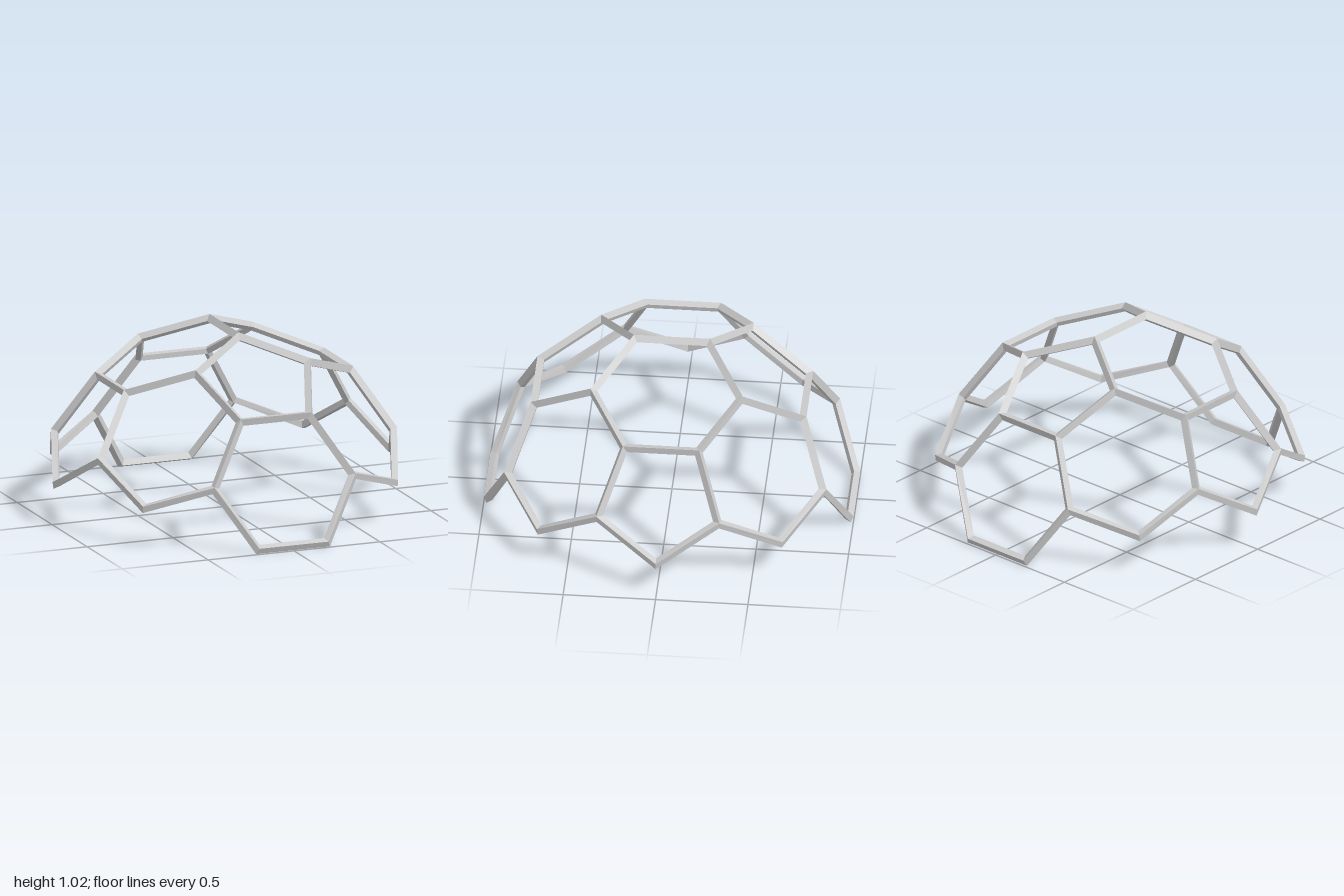
import * as THREE from 'three';

const PHI = (1 + Math.sqrt(5)) / 2;
const SCALE = 0.2012;   // half an edge length
const DEPTH = 0.025;    // ridge height above and below the strut centre
const WIDTH = 0.024;    // half width of a strut, measured in the panel

// All sign changes and cyclic permutations of a coordinate triple
function spread([a, b, c]) {
  const found = new Map();
  for (const p of [[a, b, c], [c, a, b], [b, c, a]])
    for (let m = 0; m < 8; m++) {
      const q = p.map((v, i) => (v && (m >> i) & 1 ? -v : v));
      found.set(q.map((v) => v.toFixed(3)).join(), new THREE.Vector3(...q));
    }
  return [...found.values()];
}

function quadMesh(name, quads, material) {
  const pos = [];
  for (const [a, b, c, d] of quads)
    for (const p of [a, b, c, a, c, d]) pos.push(p.x, p.y, p.z);
  const geometry = new THREE.BufferGeometry();
  geometry.setAttribute('position', new THREE.Float32BufferAttribute(pos, 3));
  geometry.computeVertexNormals();
  const mesh = new THREE.Mesh(geometry, material);
  mesh.name = name;
  return mesh;
}

export function createModel() {
  const group = new THREE.Group();
  group.name = 'geodesicDomeFrame';
  const material = new THREE.MeshStandardMaterial({ color: 0xcccccc, flatShading: true });

  // Joints of a truncated icosahedron
  const joints = [[0, 3 * PHI, 1], [1, 2 * PHI, 2 + PHI], [PHI, 2 * PHI + 1, 2]]
    .flatMap(spread).map((p) => p.multiplyScalar(SCALE));

  // Upper panels: pentagons and hexagons, corners counter-clockwise from outside
  const panels = [[0, PHI, 1], [1, 1, 1], [1 / PHI, PHI, 0]].flatMap(spread)
    .filter((n) => n.y > 0.01)
    .map((n) => {
      n.normalize();
      const reach = Math.max(...joints.map((p) => p.dot(n)));
      const centre = n.clone().multiplyScalar(reach);
      const loop = joints.map((_, i) => i).filter((i) => joints[i].dot(n) > reach - 1e-4);
      const u = joints[loop[0]].clone().sub(centre);
      const v = n.clone().cross(u);
      const angle = (i) => {
        const d = joints[i].clone().sub(centre);
        return Math.atan2(d.dot(v), d.dot(u));
      };
      loop.sort((a, b) => angle(a) - angle(b));
      return { n, centre, loop };
    });

  // Joint normals and the set of directed edges
  const normals = joints.map(() => new THREE.Vector3());
  const edges = new Map();
  for (const { n, loop } of panels)
    loop.forEach((a, k) => {
      normals[a].add(n);
      const b = loop[(k + 1) % loop.length];
      edges.set(`${a},${b}`, [a, b]);
    });
  normals.forEach((n) => n.normalize());
  const outer = joints.map((p, i) => p.clone().addScaledVector(normals[i], DEPTH));
  const inner = joints.map((p, i) => p.clone().addScaledVector(normals[i], -DEPTH));

  // Each panel carries its own half of the diamond-section struts
  for (const { centre, loop } of panels) {
    const apothem = SCALE / Math.tan(Math.PI / loop.length);
    const inset = loop.map((i) => joints[i].clone().lerp(centre, WIDTH / apothem));
    const quads = [];
    loop.forEach((a, k) => {
      const m = (k + 1) % loop.length, b = loop[m];
      quads.push([outer[a], outer[b], inset[m], inset[k]]);
      quads.push([inset[k], inset[m], inner[b], inner[a]]);
    });
    group.add(quadMesh(loop.length === 5 ? 'pentagonFrame' : 'hexagonFrame', quads, material));
  }

  // Open rim: close the outward half of the border struts
  const border = [...edges.values()].filter(([a, b]) => !edges.has(`${b},${a}`));
  const tangents = joints.map(() => new THREE.Vector3());
  for (const [a, b] of border) {
    const d = joints[b].clone().sub(joints[a]).normalize().multiplyScalar(0.5);
    tangents[a].add(d);
    tangents[b].add(d);
  }
  const rim = joints.map((p, i) => {
    const t = tangents[i];
    const out = t.clone().cross(normals[i]);
    return p.clone().addScaledVector(out, WIDTH / (t.lengthSq() || 1));
  });
  const rimQuads = border.flatMap(([a, b]) => [
    [outer[b], outer[a], rim[a], rim[b]],
    [rim[b], rim[a], inner[a], inner[b]],
  ]);
  group.add(quadMesh('lowerRim', rimQuads, material));

  // Stand the dome on the ground
  const lift = -new THREE.Box3().setFromObject(group).min.y;
  for (const part of group.children) part.position.y = lift;
  return group;
}
